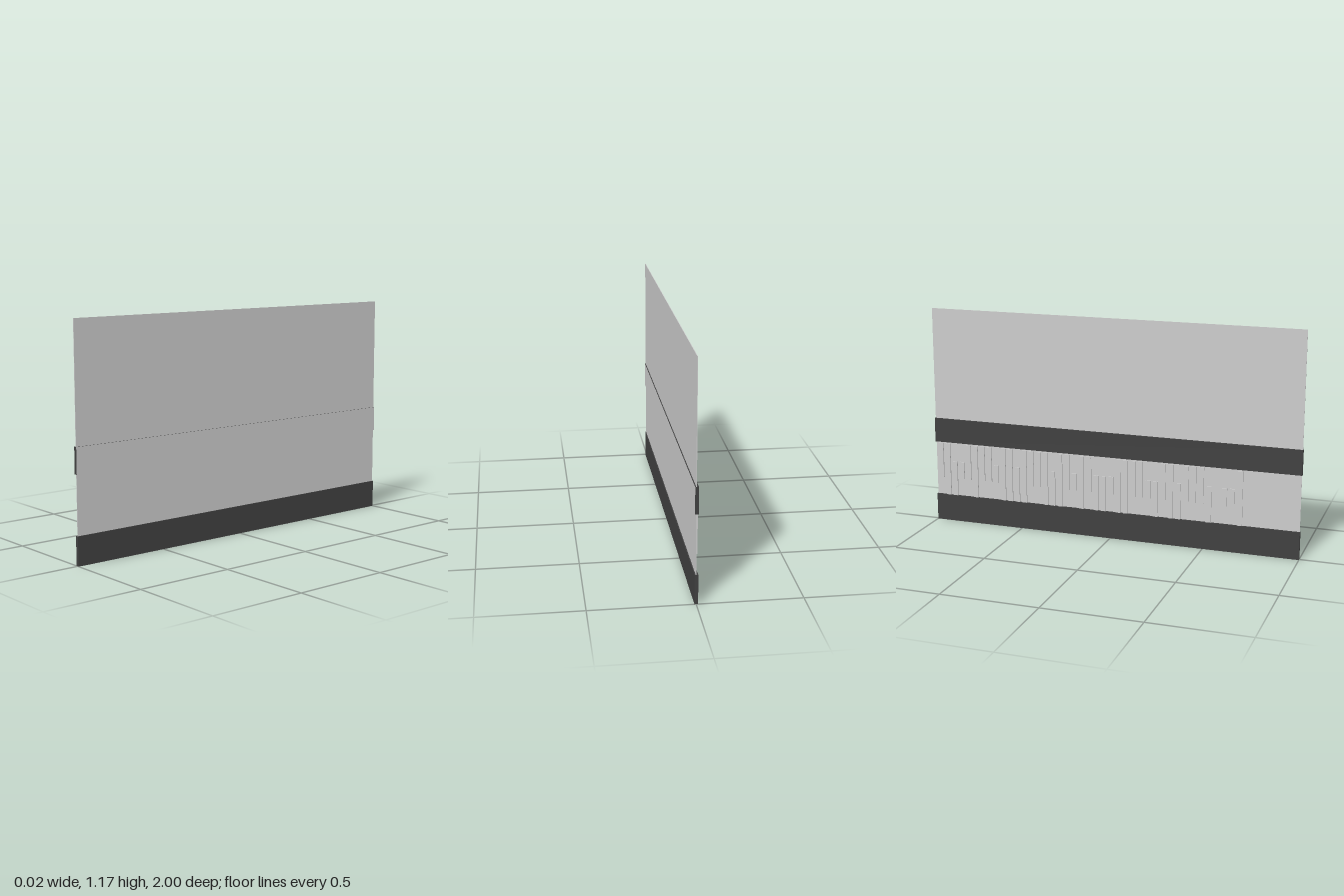
import * as THREE from 'three';

const grey = new THREE.MeshStandardMaterial({ color: 0xcccccc });
const dark = new THREE.MeshStandardMaterial({ color: 0x404040 });

// Box given by its x and y limits, its z centre and its length along z
function slab(name, x0, x1, y0, y1, z, length, material) {
  const mesh = new THREE.Mesh(new THREE.BoxGeometry(x1 - x0, y1 - y0, length), material);
  mesh.name = name;
  mesh.position.set((x0 + x1) / 2, (y0 + y1) / 2, z);
  return mesh;
}

export function createModel() {
  const group = new THREE.Group();
  group.name = 'stripedPanel';

  // Thin upright sheet
  group.add(slab('sheet', 0, 0.003, 0.01, 1.167, 0, 1.996, grey));

  // Dark rails; the upper one has a grey face on its +x side
  group.add(slab('bottomRail', -0.009, 0.008, 0, 0.145, 0, 2, dark));
  group.add(slab('middleRail', -0.009, 0.008, 0.44, 0.57, 0, 2,
    [grey, dark, dark, dark, dark, dark]));

  // Raised bars between the rails: full, ascending, descending, short
  const spans = {
    F: [0.145, 0.432],
    A: [0.24, 0.432],
    D: [0.145, 0.335],
    T: [0.24, 0.335],
  };
  const bars = new THREE.Group();
  bars.name = 'bars';
  [...'AFDTAFAATFFDFAAFDFATFADDTFFAATDAFDAAAD-TTF'].forEach((kind, i) => {
    if (!spans[kind]) return;
    const [y0, y1] = spans[kind];
    bars.add(slab('bar', -0.007, 0.001, y0, y1, -0.97 + i * 0.0405, 0.026, grey));
  });
  group.add(bars);

  return group;
}
